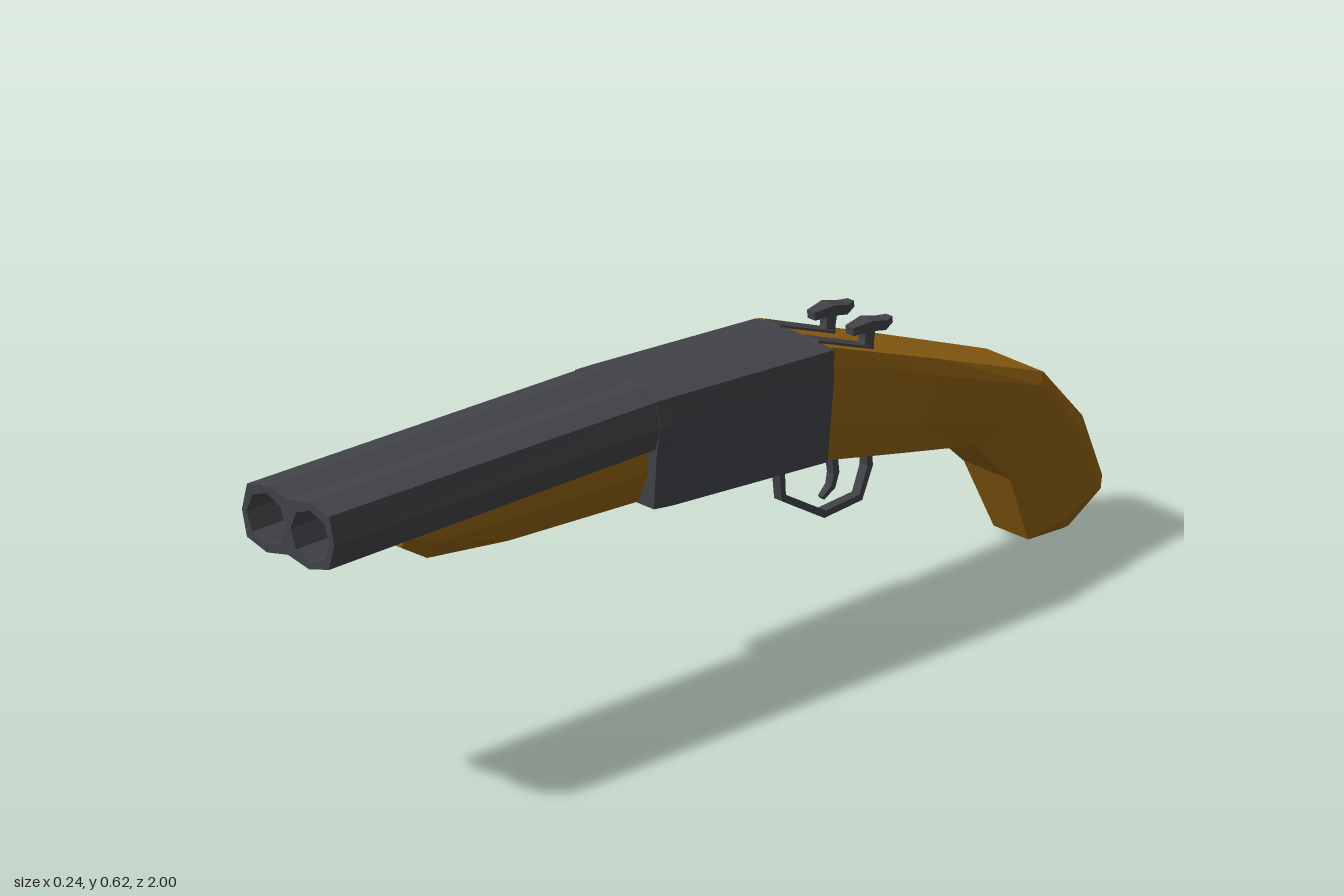
import * as THREE from 'three';

const metal = new THREE.MeshStandardMaterial({ color: 0x424348, flatShading: true });
const wood = new THREE.MeshStandardMaterial({ color: 0x8e5f11, flatShading: true });

// Right half outline (bottom to top) -> full closed outline
function mirror(half) {
  const left = half.filter(p => p[0] > 0).reverse().map(([x, ...r]) => [-x, ...r]);
  return [...half, ...left];
}

// Skin closed rings, ordered front to back, with both ends capped
function loft(rings) {
  const pos = [];
  const n = rings[0].length;
  for (let r = 0; r < rings.length - 1; r++) {
    const a = rings[r], b = rings[r + 1];
    for (let i = 0; i < n; i++) {
      const j = (i + 1) % n;
      pos.push(...a[i], ...b[i], ...a[j], ...a[j], ...b[i], ...b[j]);
    }
  }
  const cap = (ring, flip) => {
    const c = [0, 1, 2].map(k => ring.reduce((s, p) => s + p[k], 0) / n);
    for (let i = 0; i < n; i++) {
      const p = ring[i], q = ring[(i + 1) % n];
      pos.push(...c, ...(flip ? q : p), ...(flip ? p : q));
    }
  };
  cap(rings[0], false);
  cap(rings[rings.length - 1], true);
  const g = new THREE.BufferGeometry();
  g.setAttribute('position', new THREE.Float32BufferAttribute(pos, 3));
  g.computeVertexNormals();
  return g;
}

// Rectangular bar along a [z, y, halfWidth, halfThickness] path
function bar(path, x0 = 0) {
  return loft(path.map(([z, y, w, t], i) => {
    const a = path[Math.max(i - 1, 0)], b = path[Math.min(i + 1, path.length - 1)];
    const dz = b[0] - a[0], dy = b[1] - a[1], len = Math.hypot(dz, dy);
    const nz = dy / len * t, ny = -dz / len * t;
    return [[w, -1], [w, 1], [-w, 1], [-w, -1]].map(([x, s]) => [x0 + x, y + s * ny, z + s * nz]);
  }));
}

export function createModel() {
  const model = new THREE.Group();
  const add = (name, geometry, material) => {
    const m = new THREE.Mesh(geometry, material);
    m.name = name;
    model.add(m);
    return m;
  };

  // Twin barrels: one outline with two octagonal bores, tapering to the rear
  const outline = mirror([[0, 0.497], [0.055, 0.485], [0.107, 0.5], [0.12, 0.55],
    [0.107, 0.604], [0.052, 0.616], [0, 0.605]]);
  const shape = new THREE.Shape(outline.map(p => new THREE.Vector2(...p)));
  for (const s of [-1, 1]) {
    const hole = new THREE.Path();
    for (let i = 0; i < 8; i++) {
      const a = -i * Math.PI / 4;
      const x = s * 0.057 + 0.051 * Math.cos(a), y = 0.55 + 0.051 * Math.sin(a);
      if (i) hole.lineTo(x, y); else hole.moveTo(x, y);
    }
    hole.closePath();
    shape.holes.push(hole);
  }
  const barrels = new THREE.ExtrudeGeometry(shape, { depth: 0.85, bevelEnabled: false });
  barrels.translate(0, 0, 0.15);
  const p = barrels.attributes.position;
  for (let i = 0; i < p.count; i++) {
    const t = (1 - p.getZ(i)) / 0.85, y = p.getY(i);
    p.setY(i, y - t * (0.005 + 0.12 * (y - 0.49)));
    p.setX(i, p.getX(i) * (1 - 0.03 * t));
  }
  barrels.computeVertexNormals();
  add('barrels', barrels, metal);

  // Bore ends
  for (const s of [-1, 1]) {
    const plug = add(s > 0 ? 'leftBoreEnd' : 'rightBoreEnd', new THREE.CircleGeometry(0.053, 8), metal);
    plug.position.set(s * 0.0565, 0.548, 0.85);
  }

  // Receiver: barrel outline on top blending into a plain block
  add('receiver', loft([
    mirror([[0, 0.376, 0.18], [0.1, 0.376, 0.18], [0.108, 0.49, 0.18], [0.117, 0.54, 0.18],
      [0.105, 0.587, 0.18], [0.052, 0.597, 0.18], [0, 0.588, 0.18]]),
    mirror([[0, 0.373, 0.14], [0.105, 0.373, 0.14], [0.108, 0.49, 0.14], [0.109, 0.54, 0.14],
      [0.105, 0.585, 0.14], [0.052, 0.592, 0.14], [0, 0.59, 0.14]]),
    mirror([[0, 0.344, -0.25], [0.105, 0.344, -0.25], [0.106, 0.45, -0.26], [0.106, 0.5, -0.265],
      [0.102, 0.557, -0.27], [0.05, 0.562, -0.27], [0, 0.562, -0.27]]),
  ]), metal);

  // Forend under the barrels: z, top, bottom, top half width, bottom half width
  add('forend', loft([
    [0.77, 0.495, 0.46, 0.066, 0.056],
    [0.7, 0.495, 0.418, 0.079, 0.05],
    [0.5, 0.495, 0.395, 0.082, 0.055],
    [0.17, 0.495, 0.379, 0.085, 0.06],
  ].map(([z, t, b, wt, wb]) => mirror([
    [0, b, z], [wb, b, z], [wt, b + (t - b) * 0.55, z], [wt, t, z], [0, t, z],
  ]))), wood);

  // Stock and grip: top z/y, bottom z/y, half widths of top, side and bottom
  add('stock', loft([
    [-0.27, 0.56, -0.25, 0.345, 0.096, 0.105, 0.098],
    [-0.55, 0.452, -0.45, 0.297, 0.084, 0.1, 0.086],
    [-0.82, 0.345, -0.65, 0.25, 0.074, 0.094, 0.074],
    [-0.935, 0.22, -0.75, 0.15, 0.056, 0.08, 0.06],
    [-1, 0.08, -0.81, 0.01, 0.04, 0.066, 0.045],
    [-0.925, 0.002, -0.905, 0, 0.033, 0.034, 0.033],
  ].map(([tz, ty, bz, by, a, s, c]) => {
    const at = (x, f) => [x, by + (ty - by) * f, bz + (tz - bz) * f];
    return mirror([at(0, 0), at(c, 0), at(s, 0.35), at(s, 0.85), at(a, 1), at(0, 1)]);
  })), wood);

  // Trigger guard and trigger
  add('triggerGuard', bar([[-0.255, 0.36], [-0.228, 0.3], [-0.232, 0.25], [-0.335, 0.188],
    [-0.425, 0.195], [-0.448, 0.25], [-0.444, 0.32]].map(q => [...q, 0.01, 0.007])), metal);
  add('trigger', bar([[-0.355, 0.34, 0.009, 0.008], [-0.365, 0.26, 0.009, 0.007],
    [-0.358, 0.235, 0.008, 0.006], [-0.335, 0.218, 0.006, 0.004]]), metal);

  // Hammers with their inlaid slots
  for (const s of [-1, 1]) {
    const side = s > 0 ? 'left' : 'right', x = s * 0.05;
    add(side + 'HammerSlot', bar([[-0.26, 0.56, 0.02, 0.008], [-0.4, 0.506, 0.017, 0.008]], x), metal);
    add(side + 'HammerStem', bar([[-0.395, 0.49, 0.009, 0.016], [-0.4, 0.525, 0.009, 0.011],
      [-0.403, 0.555, 0.009, 0.014]], x), metal);
    add(side + 'HammerHead', bar([[-0.358, 0.553, 0.01, 0.008], [-0.4, 0.555, 0.017, 0.01],
      [-0.435, 0.546, 0.016, 0.009], [-0.458, 0.549, 0.008, 0.006]], x), metal);
  }
  return model;
}
